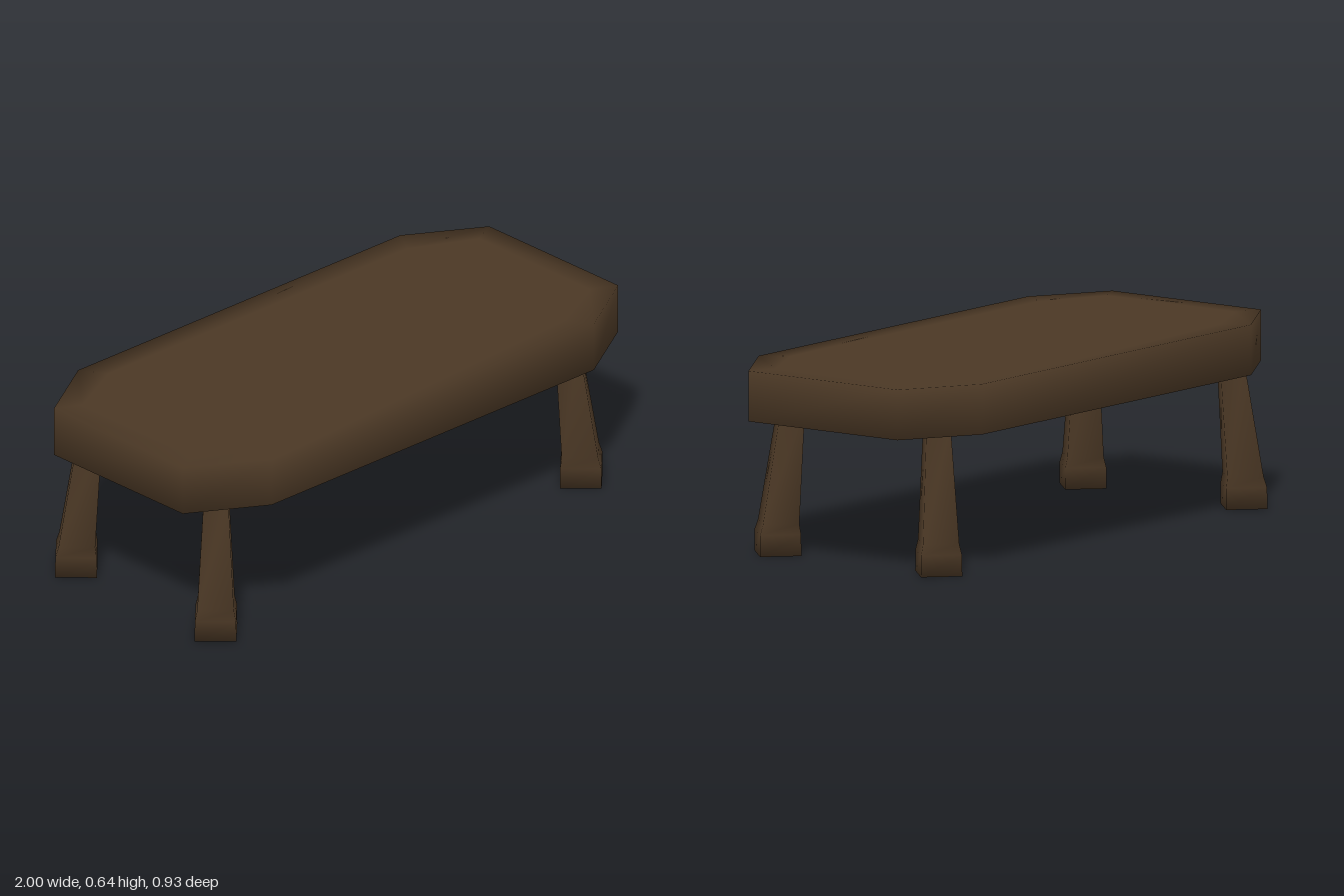
import * as THREE from 'three';

// Closed smooth solid through stacked rings of [x, y, z] points (ordered +x towards +z)
function loft(rings) {
  const n = rings[0].length;
  const index = [];
  for (let r = 0; r < rings.length - 1; r++) {
    for (let i = 0; i < n; i++) {
      const j = (i + 1) % n;
      const a = r * n + i, b = r * n + j, c = b + n, d = a + n;
      index.push(a, d, b, b, d, c);
    }
  }
  const top = (rings.length - 1) * n;
  for (let i = 1; i < n - 1; i++) {
    index.push(0, i, i + 1);
    index.push(top, top + i + 1, top + i);
  }
  const geometry = new THREE.BufferGeometry();
  geometry.setAttribute('position', new THREE.Float32BufferAttribute(rings.flat(2), 3));
  geometry.setIndex(index);
  geometry.computeVertexNormals();
  return geometry;
}

// Octagonal outline of the table top
function octagon(y, inset) {
  const x = 1 - inset, z = 0.465 - inset;
  const cx = 0.74 - inset * 0.6, cz = 0.31 - inset * 0.5;
  return [[x, cz], [cx, z], [-cx, z], [-x, cz], [-x, -cz], [-cx, -z], [cx, -z], [x, -cz]]
    .map(([px, pz]) => [px, y, pz]);
}

// Four-sided leg section set on its corner
function diamond(cx, y, cz, r) {
  return [[cx + r, y, cz], [cx, y, cz + r], [cx - r, y, cz], [cx, y, cz - r]];
}

export function createModel() {
  const group = new THREE.Group();
  const darkWood = new THREE.MeshStandardMaterial({ color: 0x4b3825 });
  darkWood.name = 'darkWood';

  const add = (name, geometry) => {
    const mesh = new THREE.Mesh(geometry, darkWood);
    mesh.name = name;
    group.add(mesh);
  };

  // Slab with an inset ring on both faces, so the shading rolls over the rim
  add('tableTop', loft([
    octagon(0.475, 0.09), octagon(0.475, 0), octagon(0.645, 0), octagon(0.645, 0.09),
  ]));

  // Splayed tapering legs with a thicker foot: [y, radius, inward shift]
  const sections = [[0.003, 0.098, 0], [0.075, 0.097, 0], [0.11, 0.086, 0.002], [0.5, 0.057, 0.032]];
  for (const [side, sx, footX] of [['Left', 1, 0.806], ['Right', -1, 0.872]]) {
    for (const [end, sz] of [['front', 1], ['back', -1]]) {
      add(`${end}${side}Leg`, loft(sections.map(([y, r, shift]) =>
        diamond(sx * (footX - shift), y, sz * (0.335 - shift), r))));
    }
  }
  return group;
}
